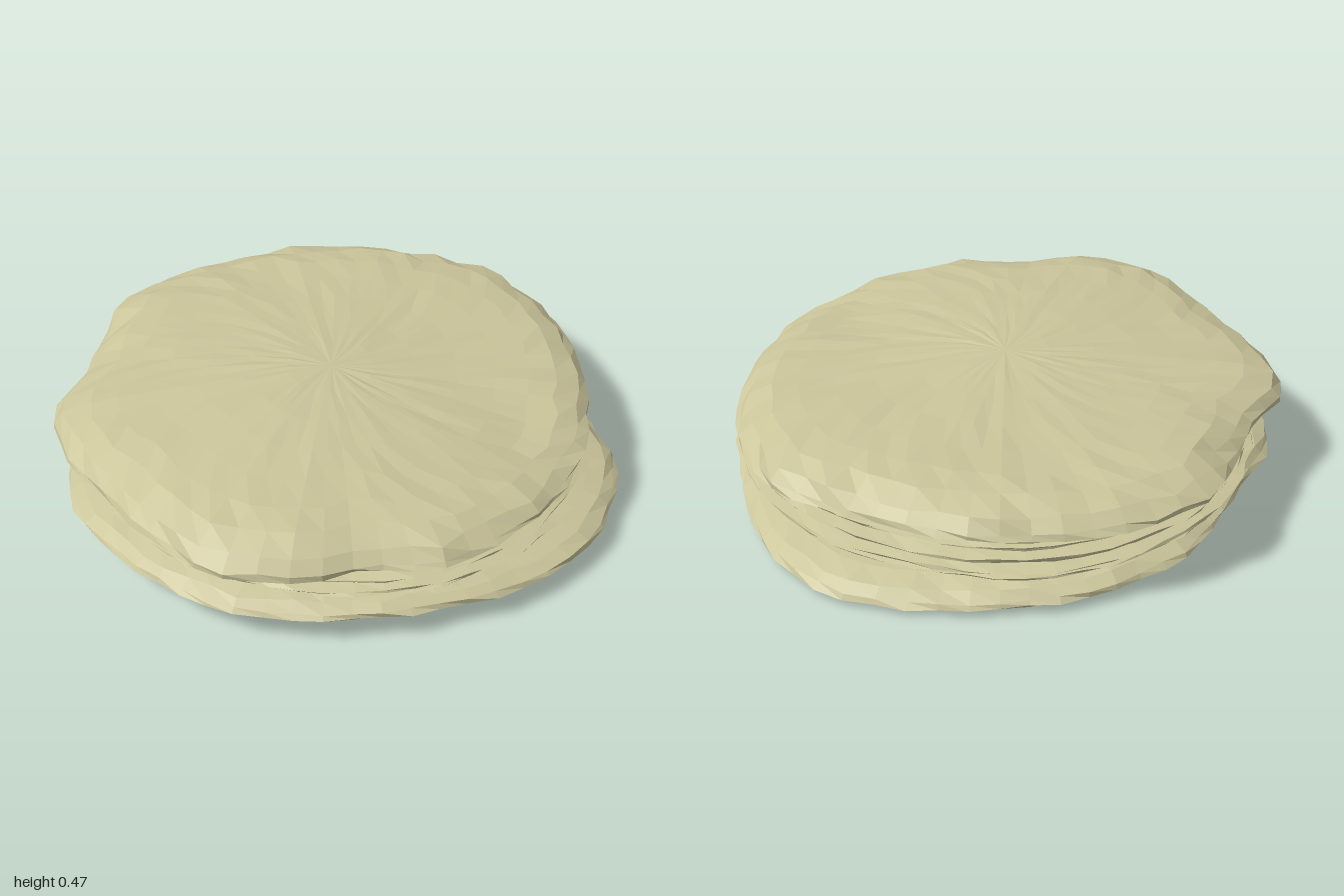
import * as THREE from 'three';

const SEGMENTS = 60;
const material = new THREE.MeshStandardMaterial({
  color: 0xcbc59b, flatShading: true, roughness: 0.9, side: THREE.DoubleSide,
});

// Repeatable roughness in the range -1 to 1
function rough(i, j, seed) {
  const v = Math.sin(i * 127.1 + j * 311.7 + seed * 74.7) * 43758.5453;
  return (v - Math.floor(v)) * 2 - 1;
}

const bump = (x, z, cx, cz, w) => Math.exp(-((x - cx) ** 2 + (z - cz) ** 2) / (w * w));

// Smooth radius from values spaced evenly round the rim, from +x towards +z
function radiusAt(outline, t) {
  const n = outline.length, f = t * n, i = Math.floor(f), k = f - i;
  const e = k * k * (3 - 2 * k);
  return outline[i % n] * (1 - e) + outline[(i + 1) % n] * e;
}

// Closed slab: rings run from the top centre, round the rim, to the bottom centre.
// Each ring is [share of the rim radius, height, roughness]; lift(x, z, height) warps it.
function slab(name, outline, rings, lift, seed, cx = 0, cz = 0) {
  const pos = [], index = [];
  rings.forEach(([s, h, noise], i) => {
    for (let j = 0; j < SEGMENTS; j++) {
      const a = (j / SEGMENTS) * Math.PI * 2;
      const r = s * (radiusAt(outline, j / SEGMENTS) + noise * rough(i, j, seed));
      const x = cx + Math.cos(a) * r, z = cz + Math.sin(a) * r;
      const dy = s > 0 ? noise * 0.4 * rough(j, i, seed + 5) : 0;
      pos.push(x, h + lift(x, z, h) + dy, z);
    }
  });
  for (let i = 0; i < rings.length - 1; i++) {
    for (let j = 0; j < SEGMENTS; j++) {
      const k = (j + 1) % SEGMENTS;
      const a = i * SEGMENTS + j, b = i * SEGMENTS + k, c = a + SEGMENTS, d = b + SEGMENTS;
      if (rings[i][0] > 0) index.push(a, b, c);
      if (rings[i + 1][0] > 0) index.push(b, d, c);
    }
  }
  const geometry = new THREE.BufferGeometry();
  geometry.setAttribute('position', new THREE.Float32BufferAttribute(pos, 3));
  geometry.setIndex(index);
  geometry.computeVertexNormals();
  const mesh = new THREE.Mesh(geometry, material);
  mesh.name = name;
  return mesh;
}

export function createModel() {
  const group = new THREE.Group();
  group.name = 'layeredCake';

  // Upper layer: uneven domed top, thin rim, recessed underside
  const upperOutline = [
    0.98, 0.95, 0.94, 0.95, 0.96, 0.97, 0.98, 0.93, 1.01, 1.04, 0.99, 0.95,
    1.0, 1.02, 0.92, 0.95, 1.02, 1.01, 0.99, 0.99, 0.99, 1.0, 1.04, 1.02,
  ];
  const upperLift = (x, z, h) => {
    const share = THREE.MathUtils.clamp((h - 0.3) / 0.13, 0, 1);
    return share * (0.03 * bump(x, z, -0.25, 0.4, 0.5) + 0.012 * bump(x, z, 0, -0.2, 0.5)
      - 0.05 * bump(x, z, 0.55, 0.65, 0.3) - 0.015 * bump(x, z, 0.2, 0.9, 0.3)
      - 0.02 * bump(x, z, -0.7, -0.6, 0.25))
      + 0.008 * Math.sin(5 * x + 2) * Math.cos(4 * z);
  };
  group.add(slab('upperLayer', upperOutline, [
    [0, 0.437, 0], [0.16, 0.437, 0.006], [0.32, 0.436, 0.008], [0.48, 0.435, 0.008],
    [0.63, 0.432, 0.01], [0.76, 0.427, 0.012], [0.86, 0.415, 0.016], [0.94, 0.383, 0.018],
    [0.985, 0.345, 0.012], [0.99, 0.325, 0.008], [0.95, 0.3, 0.01], [0.88, 0.275, 0.008],
    [0.6, 0.265, 0], [0, 0.265, 0],
  ], upperLift, 3));

  // Filling: stacked thin ridges
  const fillingOutline = [0.94, 0.93, 0.95, 0.94, 0.91, 0.9, 0.9, 0.9, 0.92, 0.92, 0.91, 0.94];
  const ridges = [[0, 0.285, 0], [0.9, 0.285, 0]];
  [0.26, 0.23, 0.195, 0.165].forEach((y, i) => {
    const reach = [0.96, 1.0, 1.02, 1.0][i];
    ridges.push([reach - 0.05, y + 0.015, 0.006], [reach, y + 0.004, 0.01], [reach - 0.01, y - 0.006, 0.008]);
  });
  ridges.push([0.92, 0.12, 0.006], [0, 0.12, 0]);
  const fillingLift = (x, z) => 0.008 * Math.sin(3 * x + 2 * z);
  group.add(slab('filling', fillingOutline, ridges, fillingLift, 9, 0.02, -0.03));

  // Lower layer: tilted slab, flat underneath, pushed out to the front left and back left
  const lowerOutline = [
    0.98, 1.01, 1.06, 1.06, 1.04, 0.99, 0.95, 0.94, 0.95, 0.97, 0.96, 0.97,
    0.99, 0.97, 0.9, 0.89, 0.93, 0.94, 0.95, 0.96, 1.0, 1.05, 1.04, 1.0,
  ];
  const lowerLift = (x, z) => -0.02 * x + 0.035 * z + 0.006 * Math.sin(4 * x - 3 * z);
  group.add(slab('lowerLayer', lowerOutline, [
    [0, 0.145, 0], [0.7, 0.145, 0], [0.88, 0.14, 0.008], [0.95, 0.12, 0.012],
    [0.99, 0.095, 0.01], [1, 0.078, 0.008], [0.97, 0.06, 0.008], [0.88, 0.048, 0.006],
    [0.7, 0.042, 0.004], [0.45, 0.04, 0.004], [0.2, 0.04, 0.003], [0, 0.04, 0],
  ], lowerLift, 17));

  // Rest the stack on the ground
  const box = new THREE.Box3().setFromObject(group);
  group.children.forEach((part) => { part.position.y -= box.min.y; });
  return group;
}
